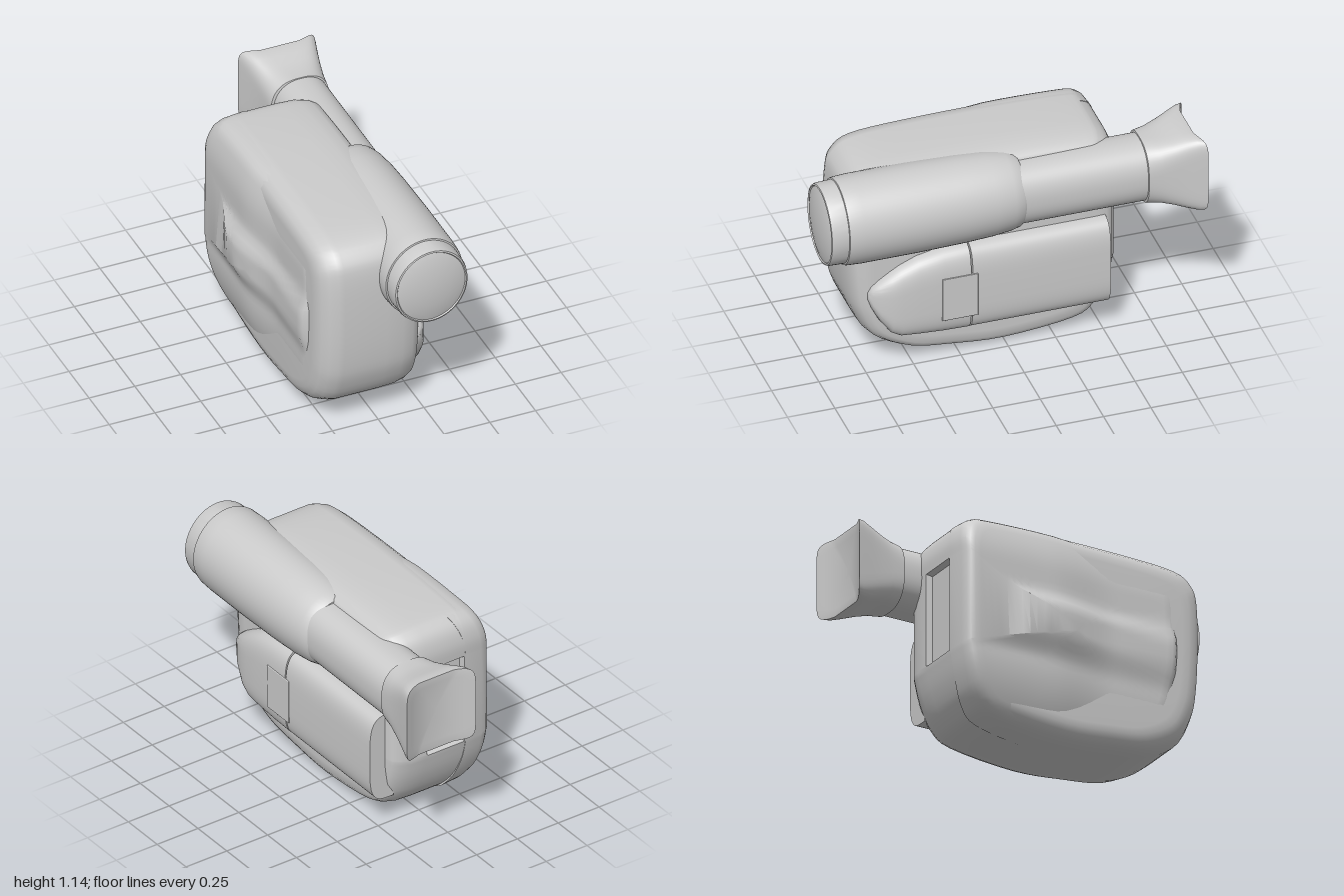
import * as THREE from 'three';
import { toCreasedNormals } from 'three/addons/utils/BufferGeometryUtils.js';
import { RoundedBoxGeometry } from 'three/addons/geometries/RoundedBoxGeometry.js';

const material = new THREE.MeshStandardMaterial({ color: 0xcccccc });

// Skin a list of equal-length closed rings, cap both ends, and face outward.
function loft(rings, crease = 0.6) {
  const n = rings[0].length, pos = [], idx = [];
  rings.forEach(r => r.forEach(p => pos.push(p.x, p.y, p.z)));
  for (let i = 0; i < rings.length - 1; i++) {
    for (let j = 0; j < n; j++) {
      const a = i * n + j, b = i * n + (j + 1) % n;
      idx.push(a, b, a + n, b, b + n, a + n);
    }
  }
  [0, rings.length - 1].forEach((r, end) => {
    const c = rings[r].reduce((s, p) => s.add(p), new THREE.Vector3()).divideScalar(n);
    const k = pos.length / 3;
    pos.push(c.x, c.y, c.z);
    for (let j = 0; j < n; j++) {
      const a = r * n + j, b = r * n + (j + 1) % n;
      if (end) idx.push(a, b, k); else idx.push(b, a, k);
    }
  });
  // signed volume decides the winding
  const v = i => new THREE.Vector3(pos[3 * i], pos[3 * i + 1], pos[3 * i + 2]);
  let volume = 0;
  for (let i = 0; i < idx.length; i += 3) volume += v(idx[i]).dot(v(idx[i + 1]).cross(v(idx[i + 2])));
  if (volume < 0) idx.reverse();
  const g = new THREE.BufferGeometry();
  g.setAttribute('position', new THREE.Float32BufferAttribute(pos, 3));
  g.setIndex(idx);
  return toCreasedNormals(g, crease);
}

// Superellipse ring across z; e = 1 is an ellipse, smaller is squarer.
function oval(z, cx, cy, rx, ry, e = 1, count = 56) {
  const pw = t => Math.sign(t) * Math.abs(t) ** e;
  return Array.from({ length: count }, (_, i) => {
    const a = (i + 0.5) / count * Math.PI * 2;
    return new THREE.Vector3(cx + rx * pw(Math.cos(a)), cy + ry * pw(Math.sin(a)), z);
  });
}

// D-shaped ring across z, flat against the body and bulging toward +x.
function dRing(z, lo, hi, xMax) {
  const x0 = 0.17, count = 28;
  return Array.from({ length: count + 1 }, (_, i) => {
    const a = i / count * Math.PI, c = Math.cos(a);
    const y = (lo + hi) / 2 + (hi - lo) / 2 * Math.sign(c) * Math.abs(c) ** 0.5;
    return new THREE.Vector3(x0 + (xMax - x0) * Math.max(0, Math.sin(a)) ** 0.5, y, z);
  });
}

// Side outline of the body as (z, y), from the back over the top and around.
const outline = new THREE.SplineCurve([
  [-0.6, 0.9], [-0.6, 0.98], [-0.577, 1.06], [-0.53, 1.105], [-0.45, 1.123], [-0.1, 1.135],
  [0.4, 1.13], [0.68, 1.11], [0.78, 1.05], [0.815, 0.95], [0.822, 0.7], [0.81, 0.45],
  [0.78, 0.3], [0.7, 0.16], [0.52, 0.06], [0.3, 0.025], [0, 0.004], [-0.38, 0.045],
  [-0.5, 0.12], [-0.565, 0.25], [-0.6, 0.39],
].map(p => new THREE.Vector2(...p))).getPoints(80);
const backPoints = [0.397, 0.893].map(y => new THREE.Vector2(-0.6, y));

function bodyGeometry() {
  // [x, scale, recessed]; the recessed rings sink the hatch into the back
  const rings = [
    [0.225, 0.3], [0.225, 0.82], [0.222, 0.9], [0.206, 0.945], [0.17, 0.975], [0.11, 0.995],
    [0.02, 1], [0.014, 1, true], [-0.204, 1, true], [-0.21, 1],
    [-0.24, 0.99], [-0.285, 0.965], [-0.315, 0.92], [-0.33, 0.86], [-0.333, 0.8], [-0.333, 0.3],
  ];
  return loft(rings.map(([x, s, sunk]) => [...outline, ...backPoints].map((p, i) =>
    new THREE.Vector3(x, 0.565 + (p.y - 0.565) * s,
      0.11 + (p.x - 0.11) * s + (sunk && i >= outline.length ? 0.035 : 0)))));
}

// Outer surface of the hand-side shell: thicker at the rear, with a grip ridge.
function shellX(y, z) {
  const step = THREE.MathUtils.smoothstep;
  const rear = 1 - step(z, -0.1, 0.28);
  const ridge = step(y, 0.38, 0.55) * (1 - step(y, 0.66, 0.77));
  const low = Math.max(0, (0.36 - y) / 0.36) ** 2, high = Math.max(0, (y - 0.88) / 0.24) ** 2;
  return -(0.335 + 0.04 * rear + ridge * (0.033 + 0.02 * rear)) + 0.1 * low + 0.06 * high;
}

function shellGeometry() {
  const rings = [[0.16, 0.997], [0.06, 0.987], [0.025, 0.97], [0.008, 0.945], [0, 0.91]];
  for (let s = 0.86; s > 0.02; s -= 0.06) rings.push([0, s]);
  const cz = 0.03, cy = 0.565;
  return loft(rings.map(([dx, s]) => outline.map(p => {
    const z = cz + (p.x * 0.89 - 0.068 - cz) * s, y = cy + (p.y - cy) * s;
    return new THREE.Vector3(shellX(y, z) + dx, y, z);
  })), 0.5);
}

// Lens barrel with its stepped front ring and domed glass: [z, size].
function barrelGeometry() {
  const steps = [
    [-0.065, 0.72], [-0.062, 0.8], [-0.045, 0.85], [0, 0.9], [0.1, 0.95], [0.25, 0.98], [0.5, 1],
    [0.8, 1], [0.87, 0.985], [0.885, 0.97], [0.887, 0.935], [0.96, 0.925], [0.975, 0.905],
    [0.978, 0.87], [0.972, 0.85], [0.982, 0.7], [0.992, 0.45], [0.997, 0.2], [0.998, 0.05],
  ];
  return loft(steps.map(([z, s]) => oval(z, 0.193, 0.911, 0.217 * s, 0.235 * s)));
}

// Flared eyecup whose open end is scooped around the vertical axis.
function eyecupGeometry() {
  const cx = 0.214, cy = 0.916;
  const steps = [
    [-0.7, 0.15, 0.168, 0.8], [-0.703, 0.16, 0.176, 0.75], [-0.77, 0.165, 0.176, 0.58],
    [-0.85, 0.176, 0.187, 0.42], [-0.92, 0.19, 0.203, 0.32], [-0.97, 0.204, 0.214, 0.26],
    [-0.998, 0.211, 0.214, 0.24],
  ];
  for (let s = 0.95; s > 0; s -= 0.15) steps.push([-1, 0.211 * s, 0.21 * s, 0.24]);
  return loft(steps.map(([z, rx, ry, e]) => {
    const ring = oval(z, cx, cy, rx, ry, e);
    const amount = THREE.MathUtils.smoothstep(-z, 0.75, 0.998);
    ring.forEach(p => { p.z += 0.06 * amount * (1 - Math.min(1, ((p.x - cx) / 0.211) ** 2)); });
    return ring;
  }));
}

export function createModel() {
  const model = new THREE.Group();
  const add = (name, geometry) => {
    const mesh = new THREE.Mesh(geometry, material);
    mesh.name = name;
    model.add(mesh);
    return mesh;
  };

  add('body', bodyGeometry());
  add('handShell', shellGeometry());
  add('lensBarrel', barrelGeometry());

  // viewfinder
  add('viewfinderTube', loft([0.02, -0.35, -0.7].map(z => oval(z, 0.217, 0.917, 0.152, 0.172, 0.85))));
  add('eyecup', eyecupGeometry());

  // fold-out screen, its rounded nose and the hinge tab between them
  add('screen', loft([[0.208, 0.17, 0.672, 0.315], [-0.52, 0.17, 0.672, 0.315]].map(r => dRing(...r))));
  add('screenNose', loft([
    [0.216, 0.168, 0.675, 0.315], [0.35, 0.172, 0.665, 0.315], [0.48, 0.18, 0.638, 0.312],
    [0.57, 0.187, 0.6, 0.305], [0.62, 0.215, 0.57, 0.298], [0.68, 0.3, 0.53, 0.28],
    [0.715, 0.37, 0.5, 0.26], [0.733, 0.42, 0.47, 0.235],
  ].map(r => dRing(...r))));
  const tab = add('hingeTab', new RoundedBoxGeometry(0.1, 0.25, 0.19, 2, 0.004));
  tab.position.set(0.268, 0.4, 0.275);

  return model;
}
